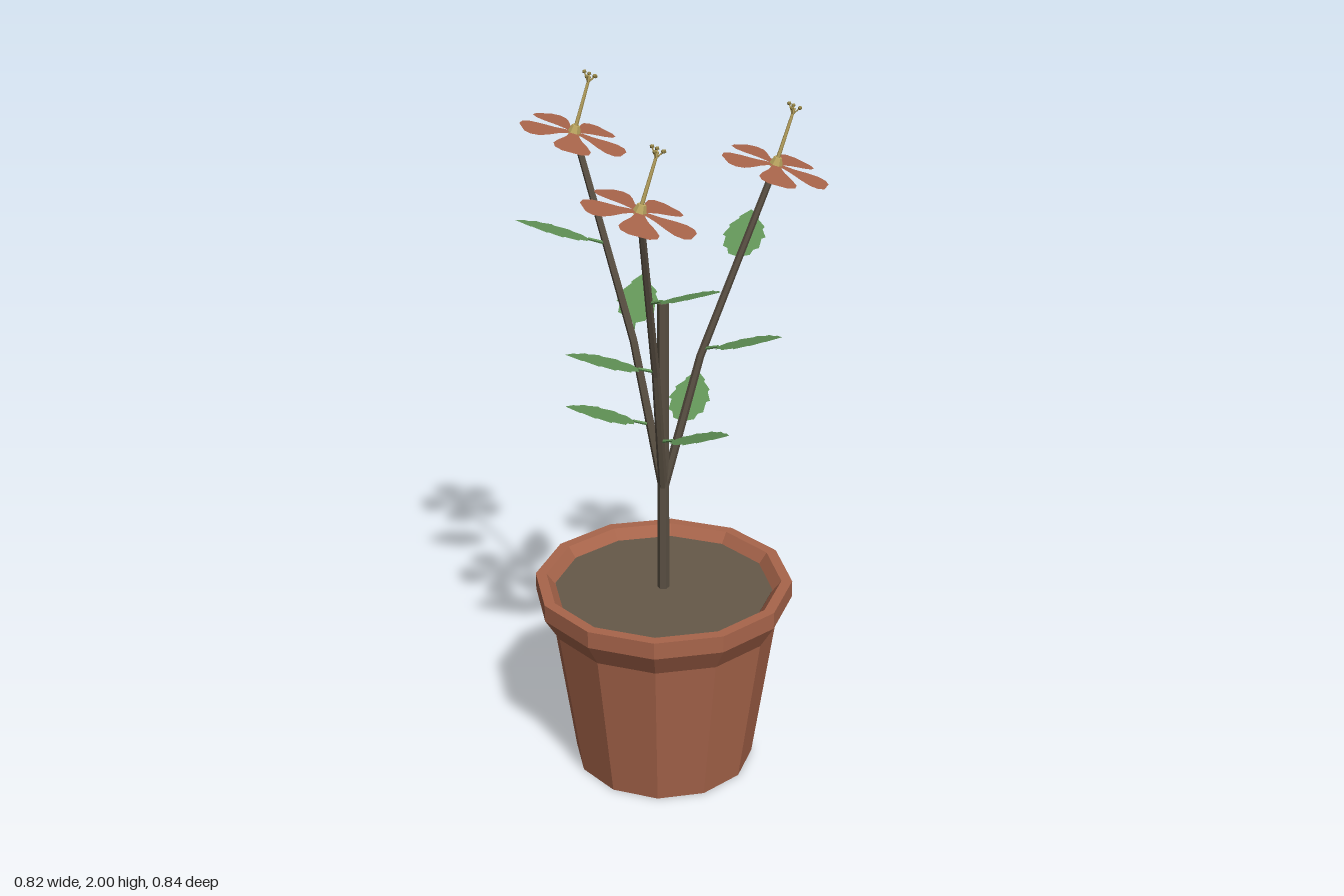
import * as THREE from 'three';

const mat = (name, color, side = THREE.FrontSide) => {
  const m = new THREE.MeshStandardMaterial({ color, side, flatShading: true });
  m.name = name;
  return m;
};
const V = (x, y, z) => new THREE.Vector3(x, y, z);
const UP = V(0, 1, 0);

export function createModel() {
  const terracotta = mat('terracotta', 0xa8654b);
  const petalRed = mat('petal', 0xa8644a, THREE.DoubleSide);
  const soilBrown = mat('soil', 0x665949);
  const bark = mat('bark', 0x5a5043);
  const leafGreen = mat('leaf', 0x629457, THREE.DoubleSide);
  const pollen = mat('pollen', 0xbfa962);
  const anther = mat('anther', 0x948448);

  const model = new THREE.Group();
  model.name = 'pottedPlant';
  const add = (parent, name, geometry, material) => {
    const mesh = new THREE.Mesh(geometry, material);
    mesh.name = name;
    parent.add(mesh);
    return mesh;
  };
  // Tapered rod between two points
  const rod = (parent, name, a, b, ra, rb, sides, material) => {
    const dir = b.clone().sub(a);
    const mesh = add(parent, name, new THREE.CylinderGeometry(rb, ra, dir.length(), sides), material);
    mesh.position.copy(a).add(b).multiplyScalar(0.5);
    mesh.quaternion.setFromUnitVectors(UP, dir.normalize());
  };
  // Flat outline mirrored about its long axis: [along, half width]
  const blade = (half) => {
    const pts = half.concat(half.slice().reverse().map(([x, w]) => [x, -w]));
    const shape = new THREE.Shape(pts.map(([x, w]) => new THREE.Vector2(x, w)));
    return new THREE.ShapeGeometry(shape).rotateX(-Math.PI / 2);
  };

  // Pot and soil
  const cx = -0.045, cz = 0.016;
  const profile = [[0, 0], [0.262, 0], [0.327, 0.46], [0.369, 0.53], [0.369, 0.58], [0.338, 0.58], [0.308, 0.54]];
  const pot = add(model, 'pot', new THREE.LatheGeometry(profile.map(([r, y]) => new THREE.Vector2(r, y)), 12), terracotta);
  pot.position.set(cx, 0, cz);
  const soil = add(model, 'soil', new THREE.CylinderGeometry(0.313, 0.305, 0.02, 12), soilBrown);
  soil.position.set(cx, 0.54, cz);

  // Main stem
  rod(model, 'mainStem', V(cx, 0.54, cz), V(cx, 1.417, cz), 0.017, 0.016, 6, bark);

  const leafGeo = blade([
    [0, 0.004], [0.05, 0.03], [0.16, 0.036], [0.2, 0.05], [0.4, 0.05], [0.43, 0.06],
    [0.6, 0.046], [0.65, 0.05], [0.8, 0.027], [0.84, 0.028], [1, 0.001],
  ]);
  const petalGeo = blade([
    [0.006, 0.008], [0.05, 0.022], [0.085, 0.041], [0.112, 0.051], [0.135, 0.046], [0.148, 0.026],
  ]);

  // Leaf on a short stalk, its width kept level
  const addLeaf = (parent, base, tip) => {
    const leaf = new THREE.Group();
    leaf.name = 'leaf';
    parent.add(leaf);
    const start = base.clone().lerp(tip, 0.2);
    rod(leaf, 'leafStalk', base, start, 0.005, 0.004, 5, leafGreen);
    const x = tip.clone().sub(start);
    const length = x.length();
    x.normalize();
    const z = x.clone().cross(UP).normalize();
    const y = z.clone().cross(x);
    const mesh = add(leaf, 'leafBlade', leafGeo, leafGreen);
    mesh.quaternion.setFromRotationMatrix(new THREE.Matrix4().makeBasis(x, y, z));
    mesh.position.copy(start);
    mesh.scale.set(length, 1, 1);
  };

  // Five-petalled flower with a long stamen column
  const addFlower = (parent, position) => {
    const flower = new THREE.Group();
    flower.name = 'flower';
    flower.position.copy(position);
    flower.quaternion.setFromUnitVectors(UP, V(0.23, 0.95, 0.16).normalize());
    parent.add(flower);
    for (let i = 0; i < 5; i++) {
      const petal = add(flower, 'petal', petalGeo, petalRed);
      petal.rotation.set(0, THREE.MathUtils.degToRad(101 - 72 * i), -0.07, 'YXZ');
    }
    const heart = add(flower, 'flowerHeart', new THREE.CylinderGeometry(0.011, 0.02, 0.026, 6), pollen);
    heart.position.y = 0.006;
    rod(flower, 'stamenColumn', V(0, 0, 0), V(0, 0.158, 0), 0.006, 0.004, 5, pollen);
    for (let i = 0; i < 5; i++) {
      const a = (i * Math.PI * 2) / 5;
      const end = V(Math.cos(a) * 0.017, 0.16 + (i % 2) * 0.006, Math.sin(a) * 0.017);
      rod(flower, 'filament', V(0, 0.14, 0), end, 0.002, 0.002, 4, pollen);
      add(flower, 'anther', new THREE.IcosahedronGeometry(0.006, 0), anther).position.copy(end);
    }
  };

  // Branches: flower position, bend height and leaf tips
  const branches = [
    { top: V(0.272, 1.77, 0.053), bend: 1.25, tips: [[0.157, 1.115, -0.17], [0.19, 1.36, 0.25], [0.314, 1.58, -0.153]] },
    { top: V(-0.166, 1.83, -0.276), bend: 1.28, tips: [[-0.305, 1.137, -0.055], [0.045, 1.385, -0.3], [-0.37, 1.63, -0.21]] },
    { top: V(-0.23, 1.77, 0.269), bend: 1.25, tips: [[0.02, 1.12, 0.278], [-0.363, 1.353, 0.095], [-0.077, 1.58, 0.406]] },
  ];
  for (const { top, bend, tips } of branches) {
    const branch = new THREE.Group();
    branch.name = 'branch';
    model.add(branch);
    const root = V(cx, 0.86, cz);
    const mid = root.clone().lerp(top, 0.34).setY(bend);
    rod(branch, 'lowerBranch', root, mid, 0.013, 0.011, 6, bark);
    rod(branch, 'upperBranch', mid, top, 0.011, 0.009, 6, bark);
    const pointAt = (y) => (y < bend
      ? root.clone().lerp(mid, (y - root.y) / (bend - root.y))
      : mid.clone().lerp(top, (y - bend) / (top.y - bend)));
    for (const t of tips) addLeaf(branch, pointAt(t[1] - 0.09), V(...t));
    addFlower(branch, top);
  }
  return model;
}
